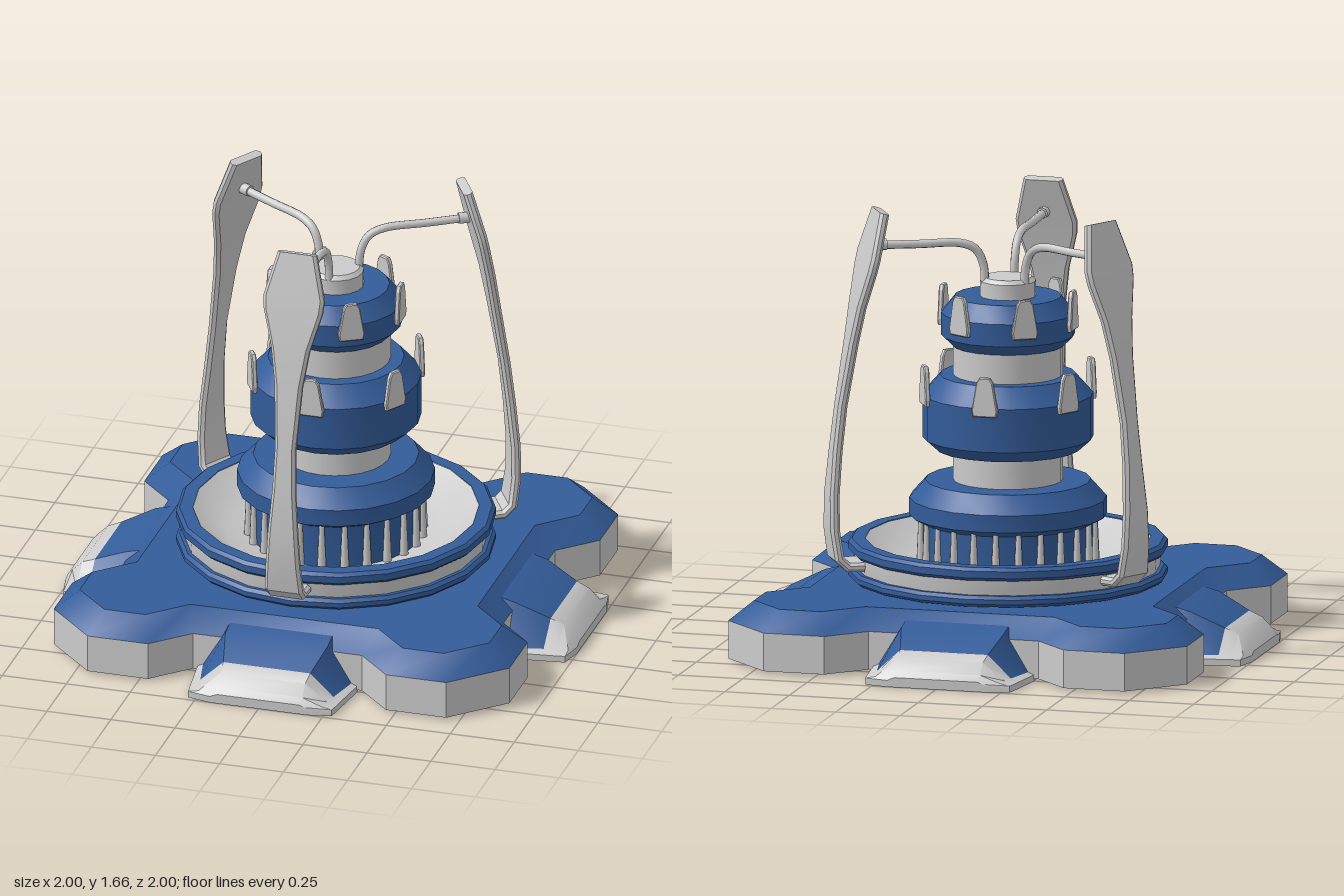
import * as THREE from 'three';
import { toCreasedNormals } from 'three/addons/utils/BufferGeometryUtils.js';

const grey = new THREE.MeshStandardMaterial({ color: 0xcccccc, side: THREE.DoubleSide });
const blue = new THREE.MeshStandardMaterial({ color: 0x335c99, side: THREE.DoubleSide });

function add(parent, name, geometry, material) {
  const mesh = new THREE.Mesh(geometry, material);
  mesh.name = name;
  parent.add(mesh);
  return mesh;
}

// Skin a row of cross-sections; each section is a list of [x, y, z].
function loft(sections, { closed = true, capStart = false, capEnd = false } = {}) {
  const n = sections[0].length;
  const positions = sections.flat(2);
  const index = [];
  for (let s = 0; s < sections.length - 1; s++) {
    for (let i = 0; i < (closed ? n : n - 1); i++) {
      const a = s * n + i, b = s * n + (i + 1) % n;
      index.push(a, b, b + n, a, b + n, a + n);
    }
  }
  const cap = (s, flip) => {
    const centre = positions.length / 3;
    for (let k = 0; k < 3; k++) positions.push(sections[s].reduce((sum, p) => sum + p[k], 0) / n);
    for (let i = 0; i < n; i++) {
      const a = s * n + i, b = s * n + (i + 1) % n;
      index.push(...(flip ? [b, a, centre] : [a, b, centre]));
    }
  };
  if (capStart) cap(0, true);
  if (capEnd) cap(sections.length - 1, false);
  const geo = new THREE.BufferGeometry();
  geo.setAttribute('position', new THREE.Float32BufferAttribute(positions, 3));
  geo.setIndex(index);
  return toCreasedNormals(geo, 0.5);
}

// Round part from [radius, height] points.
function lathe(profile, sides = 20) {
  return toCreasedNormals(new THREE.LatheGeometry(profile.map(p => new THREE.Vector2(...p)), sides), 0.6);
}

// Repeat one quarter of an outline around the y axis.
function fourfold(quarter, y) {
  const ring = [];
  for (let q = 0; q < 4; q++) {
    for (let [x, z] of quarter) {
      for (let k = 0; k < q; k++) [x, z] = [z, -x];
      ring.push([x, y, z]);
    }
  }
  return ring;
}

// Hollow four-lobed base with a chamfered top
function buildBase() {
  const base = new THREE.Group();
  base.name = 'base';
  const outer = [[0.33, 0.755], [0.465, 0.89], [0.7, 0.89], [0.89, 0.7], [0.89, 0.465], [0.755, 0.33]];
  const inner = [[0.367, 0.665], [0.502, 0.8], [0.663, 0.8], [0.8, 0.663], [0.8, 0.502], [0.665, 0.367]];
  add(base, 'baseWall', loft([fourfold(outer, 0.01), fourfold(outer, 0.155)]), grey);
  add(base, 'baseTop', loft([fourfold(outer, 0.155), fourfold(inner, 0.23)], { capEnd: true }), blue);
  return base;
}

// Sloping foot with grey rims and toe
function buildFoot() {
  const foot = new THREE.Group();
  foot.name = 'foot';
  const mirrored = (z, half) => [
    ...half.map(([x, y]) => [x, y, z]),
    ...[...half].reverse().map(([x, y]) => [-x, y, z]),
  ];
  add(foot, 'footPlate', loft([
    mirrored(0.69, [[0.29, 0.035], [0.2, 0.2]]),
    mirrored(0.765, [[0.288, 0.035], [0.2, 0.18]]),
    mirrored(0.89, [[0.26, 0.035], [0.17, 0.12]]),
  ], { closed: false }), blue);
  for (const s of [1, -1]) {
    const rim = (z, w, inset) => [[s * w, 0, z], [s * w, 0.025, z], [s * inset, 0.035, z]];
    add(foot, 'footRim', loft([rim(0.69, 0.31, 0.29), rim(0.765, 0.31, 0.288), rim(0.89, 0.293, 0.26)],
      { closed: false }), grey);
  }
  add(foot, 'footToe', loft([
    mirrored(0.89, [[0.293, 0], [0.293, 0.025], [0.26, 0.035], [0.17, 0.12]]),
    mirrored(0.94, [[0.287, 0], [0.287, 0.025], [0.25, 0.035], [0.165, 0.1]]),
    mirrored(0.98, [[0.28, 0], [0.28, 0.025], [0.24, 0.033], [0.165, 0.06]]),
    mirrored(1.0, [[0.19, 0], [0.19, 0.025], [0.18, 0.03], [0.16, 0.037]]),
    mirrored(1.0, [[0.19, 0], [0.19, 0], [0.18, 0], [0.16, 0]]),
  ], { closed: false }), grey);
  return foot;
}

// Round dish with two lips
function buildDish() {
  const dish = new THREE.Group();
  dish.name = 'dish';
  add(dish, 'dishBowl', lathe([[0.56, 0.23], [0.57, 0.27], [0.575, 0.34], [0.535, 0.383], [0.41, 0.29], [0.2, 0.28]]), grey);
  for (const [name, y, h] of [['lowerLip', 0.235, 0.042], ['upperLip', 0.335, 0.05]]) {
    add(dish, name, lathe([[0.535, y], [0.585, y], [0.598, y + 0.012], [0.598, y + h - 0.012],
      [0.585, y + h], [0.535, y + h]]), blue);
  }
  return dish;
}

// Tapered clips spaced around a drum
function addClips(parent, radius, y, startAngle) {
  const shape = new THREE.Shape([[-0.045, 0], [0.045, 0], [0.05, 0.025], [0.032, 0.13], [0.02, 0.15],
    [-0.02, 0.15], [-0.032, 0.13], [-0.05, 0.025]].map(p => new THREE.Vector2(...p)));
  const geo = new THREE.ExtrudeGeometry(shape, {
    depth: 0.012, bevelEnabled: true, bevelThickness: 0.004, bevelSize: 0.004, bevelOffset: -0.004, bevelSegments: 1,
  });
  for (let i = 0; i < 6; i++) {
    const a = startAngle + i * Math.PI / 3;
    const clip = add(parent, 'clip', geo, grey);
    clip.position.set(Math.sin(a) * radius, y, Math.cos(a) * radius);
    clip.rotation.y = a;
  }
}

// Central column with stacked drums
function buildTower() {
  const tower = new THREE.Group();
  tower.name = 'tower';
  add(tower, 'column', lathe([[0.205, 0.28], [0.205, 1.25]], 24), grey);
  add(tower, 'lowerDrum', lathe([[0.325, 0.28], [0.325, 0.45], [0.37, 0.475], [0.37, 0.54], [0.31, 0.607], [0.2, 0.607]]), blue);
  add(tower, 'middleDrum', lathe([[0.2, 0.725], [0.27, 0.725], [0.32, 0.77], [0.32, 0.935], [0.255, 1.008], [0.2, 1.008]]), blue);
  add(tower, 'upperDrum', lathe([[0.2, 1.12], [0.21, 1.12], [0.25, 1.16], [0.25, 1.245], [0.2, 1.307], [0, 1.307]]), blue);
  add(tower, 'columnCap', lathe([[0.105, 1.3], [0.105, 1.365], [0.09, 1.38], [0, 1.38]], 16), grey);
  addClips(tower, 0.315, 0.905, 0);
  addClips(tower, 0.245, 1.188, Math.PI / 6);

  // Upright fins below the lower drum
  const finGeo = new THREE.CylinderGeometry(0.009, 0.018, 0.2, 8);
  for (let i = 0; i < 24; i++) {
    const a = (i + 0.5) * Math.PI / 12;
    add(tower, 'fin', finGeo, grey).position.set(Math.sin(a) * 0.328, 0.38, Math.cos(a) * 0.328);
  }
  return tower;
}

// Curved flat arm with a rod bending into the column cap
function buildArm() {
  const arm = new THREE.Group();
  arm.name = 'arm';
  // Distance out, height, half width
  const stations = [
    [0.57, 0.31, 0.075], [0.63, 0.312, 0.075], [0.665, 0.345, 0.074], [0.68, 0.45, 0.066],
    [0.68, 0.58, 0.058], [0.665, 0.75, 0.045], [0.645, 0.92, 0.04], [0.605, 1.16, 0.054],
    [0.58, 1.3, 0.075], [0.548, 1.44, 0.114], [0.536, 1.49, 0.118], [0.492, 1.655, 0.075],
  ];
  const sections = stations.map(([z, y, w], i) => {
    const before = stations[Math.max(i - 1, 0)], after = stations[Math.min(i + 1, stations.length - 1)];
    const dz = after[0] - before[0], dy = after[1] - before[1], len = Math.hypot(dz, dy);
    const nz = dy / len * 0.018, ny = -dz / len * 0.018;
    const point = (x, k) => [x, y + ny * k, z + nz * k];
    return [point(-w + 0.012, 1), point(w - 0.012, 1), point(w, 0.4), point(w, -0.4),
      point(w - 0.012, -1), point(-w + 0.012, -1), point(-w, -0.4), point(-w, 0.4)];
  });
  add(arm, 'armBlade', loft(sections, { capStart: true, capEnd: true }), grey);

  const path = new THREE.CatmullRomCurve3([[0.53, 1.525], [0.35, 1.52], [0.18, 1.515], [0.125, 1.49], [0.095, 1.43], [0.088, 1.34]]
    .map(([z, y]) => new THREE.Vector3(0, y, z)));
  add(arm, 'armRod', new THREE.TubeGeometry(path, 28, 0.016, 8), grey);
  const collar = add(arm, 'rodCollar', new THREE.CylinderGeometry(0.022, 0.022, 0.04, 8), grey);
  collar.rotation.x = Math.PI / 2;
  collar.position.set(0, 1.525, 0.49);
  return arm;
}

export function createModel() {
  const model = new THREE.Group();
  model.name = 'tower emitter';
  model.add(buildBase(), buildDish(), buildTower());
  for (let i = 0; i < 4; i++) {
    const foot = buildFoot();
    foot.rotation.y = i * Math.PI / 2;
    model.add(foot);
  }
  for (let i = 0; i < 3; i++) {
    const arm = buildArm();
    arm.rotation.y = i * Math.PI * 2 / 3;
    model.add(arm);
  }
  return model;
}
